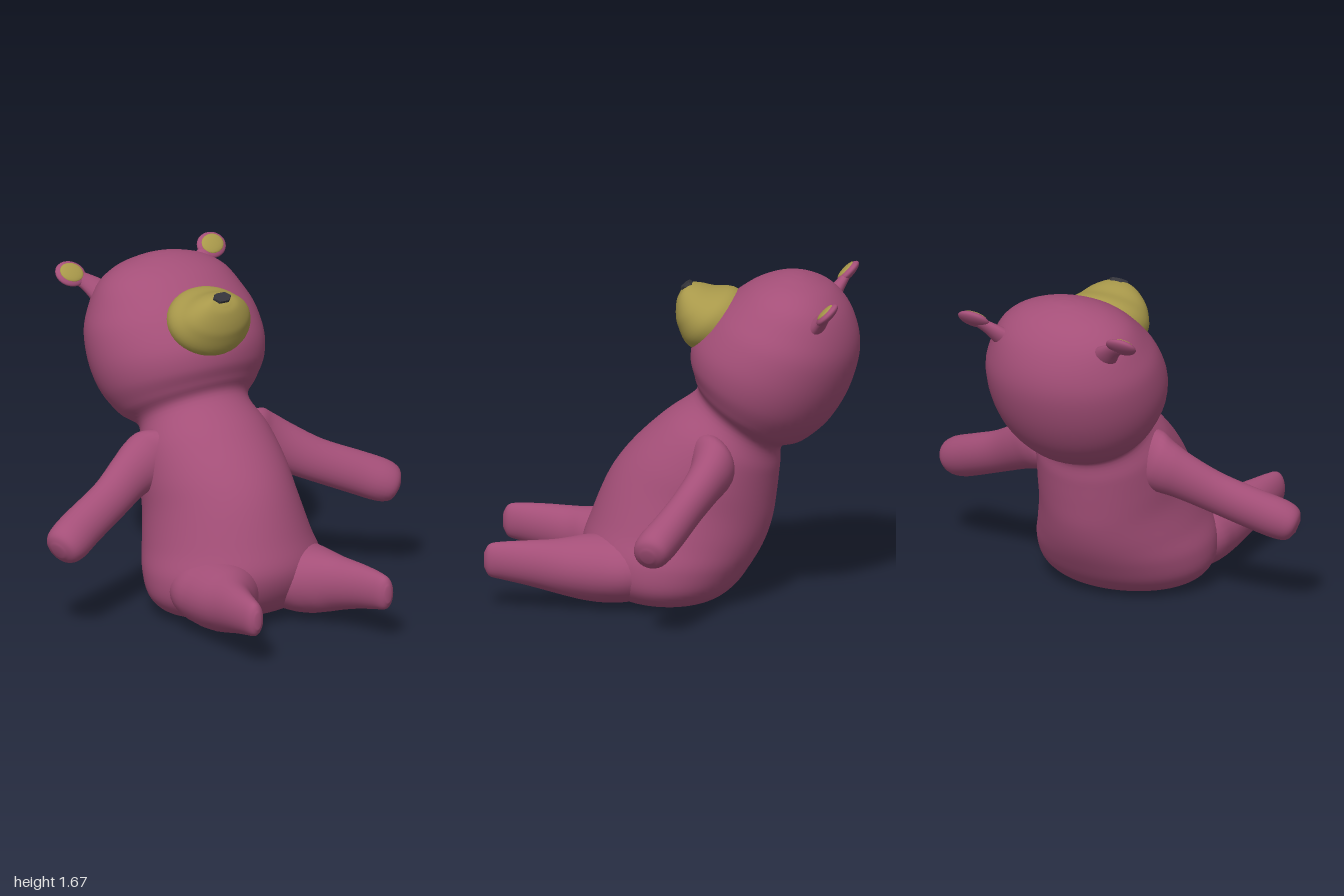
import * as THREE from 'three';

const V = (x, y, z) => new THREE.Vector3(x, y, z);
const plush = new THREE.MeshStandardMaterial({ color: 0xa44f78 });
const tan = new THREE.MeshStandardMaterial({ color: 0xa8984a });
const dark = new THREE.MeshStandardMaterial({ color: 0x34343a });

// Smooth skin through elliptical sections {c: centre, u, v: half axes}, closed at both ends
function loft(sections, steps = 40, sides = 40) {
  const spline = (k) => new THREE.CatmullRomCurve3(sections.map((s) => s[k]), false, 'catmullrom', 0.5);
  const [C, U, W] = ['c', 'u', 'v'].map(spline);
  const pos = [], idx = [];
  for (let i = 0; i <= steps; i++) {
    const t = i / steps, c = C.getPoint(t), u = U.getPoint(t), v = W.getPoint(t);
    for (let j = 0; j < sides; j++) {
      const a = (j / sides) * Math.PI * 2;
      const p = c.clone().addScaledVector(u, Math.cos(a)).addScaledVector(v, Math.sin(a));
      pos.push(p.x, p.y, p.z);
    }
  }
  const first = pos.length / 3, last = first + 1;
  for (const s of [sections[0], sections.at(-1)]) pos.push(s.c.x, s.c.y, s.c.z);
  for (let j = 0; j < sides; j++) {
    const k = (j + 1) % sides, e = steps * sides;
    for (let i = 0; i < steps; i++) {
      const a = i * sides + j, b = i * sides + k;
      idx.push(a, b, b + sides, a, b + sides, a + sides);
    }
    idx.push(first, k, j, last, e + j, e + k);
  }
  // Turn the faces outward if the sections run the other way
  const P = (i) => V(pos[i * 3], pos[i * 3 + 1], pos[i * 3 + 2]);
  let volume = 0;
  for (let i = 0; i < idx.length; i += 3) volume += P(idx[i]).dot(P(idx[i + 1]).cross(P(idx[i + 2])));
  if (volume < 0) idx.reverse();
  const g = new THREE.BufferGeometry();
  g.setAttribute('position', new THREE.Float32BufferAttribute(pos, 3));
  g.setIndex(idx);
  g.computeVertexNormals();
  return g;
}

// Section spanning from a front point to a back point (z, y), with half width w
const slice = ([fz, fy, bz, by, w]) => ({
  c: V(0, (fy + by) / 2, (fz + bz) / 2),
  u: V(w, 0, 0),
  v: V(0, (fy - by) / 2, (fz - bz) / 2),
});

export function createModel() {
  const model = new THREE.Group();
  const add = (name, geometry, material, parent = model) => {
    const m = new THREE.Mesh(geometry, material);
    m.name = name;
    parent.add(m);
    return m;
  };

  // Seated torso flowing through the neck into the tilted head
  add('bodyAndHead', loft([
    [0.18, 0.03, -0.05, 0.005, 0.14],
    [0.32, 0.045, -0.2, 0.015, 0.34],
    [0.42, 0.14, -0.3, 0.08, 0.44],
    [0.465, 0.28, -0.38, 0.19, 0.455],
    [0.42, 0.43, -0.44, 0.3, 0.415],
    [0.33, 0.64, -0.48, 0.42, 0.375],
    [0.22, 0.79, -0.5, 0.55, 0.36],
    [0.06, 0.94, -0.515, 0.68, 0.335],
    [-0.1, 1.06, -0.53, 0.79, 0.29],
    [-0.095, 1.15, -0.64, 0.83, 0.36],
    [-0.075, 1.24, -0.76, 0.93, 0.425],
    [-0.095, 1.34, -0.85, 1.07, 0.455],
    [-0.17, 1.45, -0.905, 1.23, 0.447],
    [-0.25, 1.53, -0.91, 1.36, 0.405],
    [-0.36, 1.61, -0.87, 1.49, 0.34],
    [-0.45, 1.65, -0.8, 1.585, 0.245],
    [-0.53, 1.67, -0.715, 1.64, 0.13],
    [-0.59, 1.674, -0.64, 1.668, 0.04],
  ].map(slice), 102, 56), plush);

  // Muzzle, tapering to a narrow tip, with the nose on top
  add('muzzle', loft([
    [-0.16, 1.25, -0.38, 1.51, 0.19],
    [-0.058, 1.3, -0.29, 1.58, 0.222],
    [-0.012, 1.39, -0.19, 1.585, 0.188],
    [0.0, 1.45, -0.12, 1.6, 0.145],
    [-0.004, 1.52, -0.065, 1.603, 0.085],
    [-0.02, 1.56, -0.045, 1.59, 0.03],
  ].map(slice), 28), tan);
  const nose = add('nose', new THREE.CylinderGeometry(0.05, 0.068, 0.05, 6).toNonIndexed(), dark);
  nose.geometry.computeVertexNormals();
  nose.geometry.rotateY(Math.PI / 2);
  nose.scale.z = 0.6;
  nose.position.set(0, 1.58, -0.06);
  nose.rotation.x = 0.65;

  for (const [side, s] of [['left', 1], ['right', -1]]) {
    // Arm: centre x, y, z, then half height and half depth
    add(side + 'Arm', loft([
      [0.14, 0.79, -0.17, 0.12, 0.1],
      [0.27, 0.765, -0.215, 0.155, 0.125],
      [0.35, 0.735, -0.225, 0.143, 0.113],
      [0.45, 0.69, -0.2, 0.122, 0.097],
      [0.6, 0.613, -0.14, 0.108, 0.09],
      [0.78, 0.538, -0.075, 0.108, 0.095],
      [0.9, 0.488, -0.025, 0.106, 0.1],
      [0.96, 0.463, -0.003, 0.085, 0.085],
      [0.985, 0.455, 0.005, 0.035, 0.035],
    ].map(([x, y, z, h, d]) => ({
      c: V(s * x, y, z + s * 0.018 * x),
      u: V(s * 0.38, 0.92, 0.03).multiplyScalar(h),
      v: V(s * -0.34, 0, 0.94).multiplyScalar(d),
    })), 36, 28), plush);

    // Leg, wide at the hip: centre x, y, z, then half width and half height
    add(side + 'Leg', loft([
      [0.19, 0.2, 0.05, 0.2, 0.14],
      [0.225, 0.195, 0.2, 0.225, 0.165],
      [0.245, 0.195, 0.32, 0.207, 0.17],
      [0.262, 0.2, 0.42, 0.187, 0.163],
      [0.292, 0.207, 0.5, 0.153, 0.148],
      [0.325, 0.218, 0.58, 0.117, 0.132],
      [0.354, 0.235, 0.7, 0.088, 0.113],
      [0.373, 0.247, 0.82, 0.064, 0.096],
      [0.38, 0.25, 0.885, 0.045, 0.082],
      [0.381, 0.25, 0.912, 0.018, 0.04],
    ].map(([x, y, z, w, h]) => ({ c: V(s * x - 0.015 * z, y, z), u: V(w, 0, 0), v: V(0, h, 0) })), 40, 32), plush);

    // Ear: short flared stalk, flat rounded disc and coloured inner face
    add(side + 'EarStalk', loft([
      [0.24, 1.43, -0.7, 0.085],
      [0.3, 1.49, -0.745, 0.065],
      [0.35, 1.535, -0.778, 0.045],
      [0.4, 1.567, -0.8, 0.038],
    ].map(([x, y, z, r]) => ({
      c: V(s * x, y, z),
      u: V(s * -0.6, 0.6, -0.5).multiplyScalar(r),
      v: V(0, 0.64, 0.77).multiplyScalar(r * 0.6),
    })), 12, 16), plush);
    const ear = new THREE.Group();
    ear.name = side + 'Ear';
    ear.position.set(s * 0.412, 1.574, -0.805);
    ear.rotation.set(-0.78, 0, s * 0.25);
    model.add(ear);
    add(side + 'EarDisc', new THREE.SphereGeometry(1, 24, 16), plush, ear).scale.set(0.082, 0.07, 0.027);
    const inner = add(side + 'EarInner', new THREE.SphereGeometry(1, 20, 10), tan, ear);
    inner.scale.set(0.064, 0.053, 0.014);
    inner.position.z = 0.016;
  }
  return model;
}
